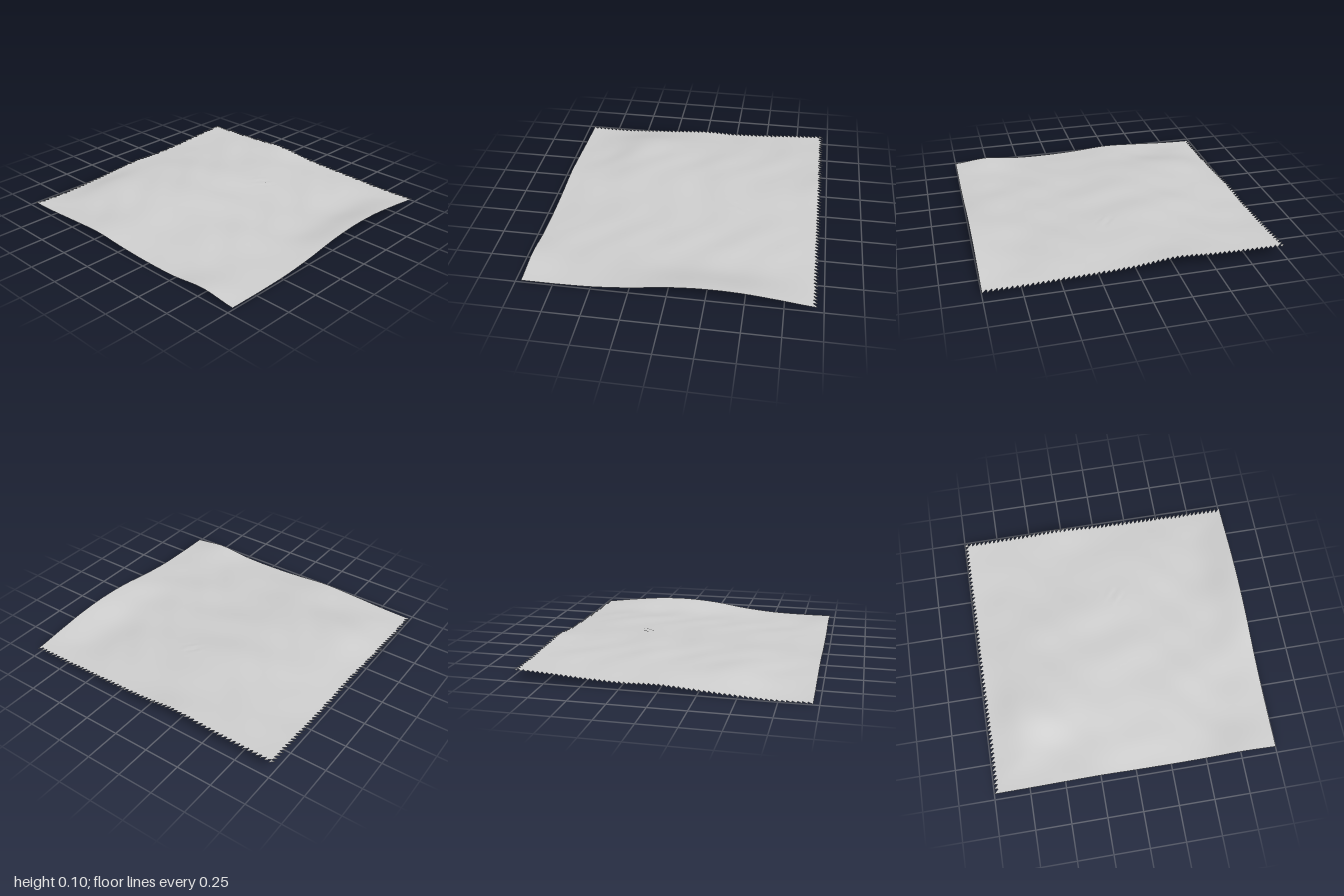
import * as THREE from 'three';

// Coarse terrain heights in thousandths: rows run back to front, columns from -x to +x
const heights = [
  [83, 84, 90, 103, 76, 62, 54, 45, 45],
  [71, 78, 82, 84, 78, 76, 64, 54, 73],
  [55, 66, 80, 88, 84, 78, 66, 52, 97],
  [45, 70, 88, 92, 82, 70, 54, 58, 102],
  [50, 66, 82, 88, 75, 62, 55, 50, 85],
  [33, 74, 88, 82, 70, 56, 52, 41, 50],
  [16, 72, 82, 70, 56, 46, 38, 32, 27],
  [6, 30, 42, 52, 44, 34, 28, 28, 20],
  [10, 17, 32, 42, 25, 16, 20, 45, 20],
];
const COLS = 62, ROWS = 60, WIDTH = 2, DEPTH = 1.92;

// Smooth curve through a list of values, t from 0 to 1
function spline(values, t) {
  const last = values.length - 1;
  const p = t * last, i = Math.min(Math.floor(p), last - 1), f = p - i;
  const at = (k) => values[Math.max(0, Math.min(last, k))];
  const a = at(i - 1), b = at(i), c = at(i + 1), d = at(i + 2);
  return b + 0.5 * f * (c - a + f * (2 * a - 5 * b + 4 * c - d + f * (3 * (b - c) + d - a)));
}

function heightAt(u, v) {
  const x = (u - 0.5) * WIDTH, z = (v - 0.5) * DEPTH;
  const base = spline(heights.map((row) => spline(row, u)), v) / 1000;
  // shallow wrinkles that fade out at the border
  const fade = Math.min(1, 8 * Math.min(u, 1 - u, v, 1 - v));
  const wrinkles = 0.003 * Math.sin(9 * x + 6 * z + 2 * Math.sin(5 * z - 2 * x))
    + 0.002 * Math.sin(17 * z - 8 * x + 2 * Math.sin(7 * x));
  // small patch of rough ground
  const patch = Math.exp(-((x - 0.07) ** 2 + (z + 0.35) ** 2) / 0.002);
  return base + fade * wrinkles + 0.008 * patch * Math.sin(90 * x + 55 * z);
}

function terrainGeometry() {
  const positions = [], indices = [];
  for (let j = 0; j <= ROWS; j++) {
    for (let i = 0; i <= COLS; i++) {
      const u = i / COLS, v = j / ROWS;
      positions.push((u - 0.5) * WIDTH, heightAt(u, v), (v - 0.5) * DEPTH);
    }
  }
  for (let j = 0; j < ROWS; j++) {
    for (let i = 0; i < COLS; i++) {
      const a = j * (COLS + 1) + i, b = a + 1, c = a + COLS + 1, d = c + 1;
      indices.push(c, d, b);
      // half cells leave saw teeth on the back and -x borders
      if (i > 0 && j > 0) indices.push(a, c, b);
    }
  }
  const geometry = new THREE.BufferGeometry();
  geometry.setAttribute('position', new THREE.Float32BufferAttribute(positions, 3));
  geometry.setIndex(indices);
  geometry.computeBoundingBox();
  geometry.translate(0, -geometry.boundingBox.min.y, 0);
  geometry.computeVertexNormals();
  return geometry;
}

export function createModel() {
  const group = new THREE.Group();
  group.name = 'terrain';
  const ground = new THREE.MeshStandardMaterial({ color: 0xcccccc, side: THREE.DoubleSide });
  ground.name = 'lightGrey';
  const sheet = new THREE.Mesh(terrainGeometry(), ground);
  sheet.name = 'terrainSheet';
  group.add(sheet);
  return group;
}
